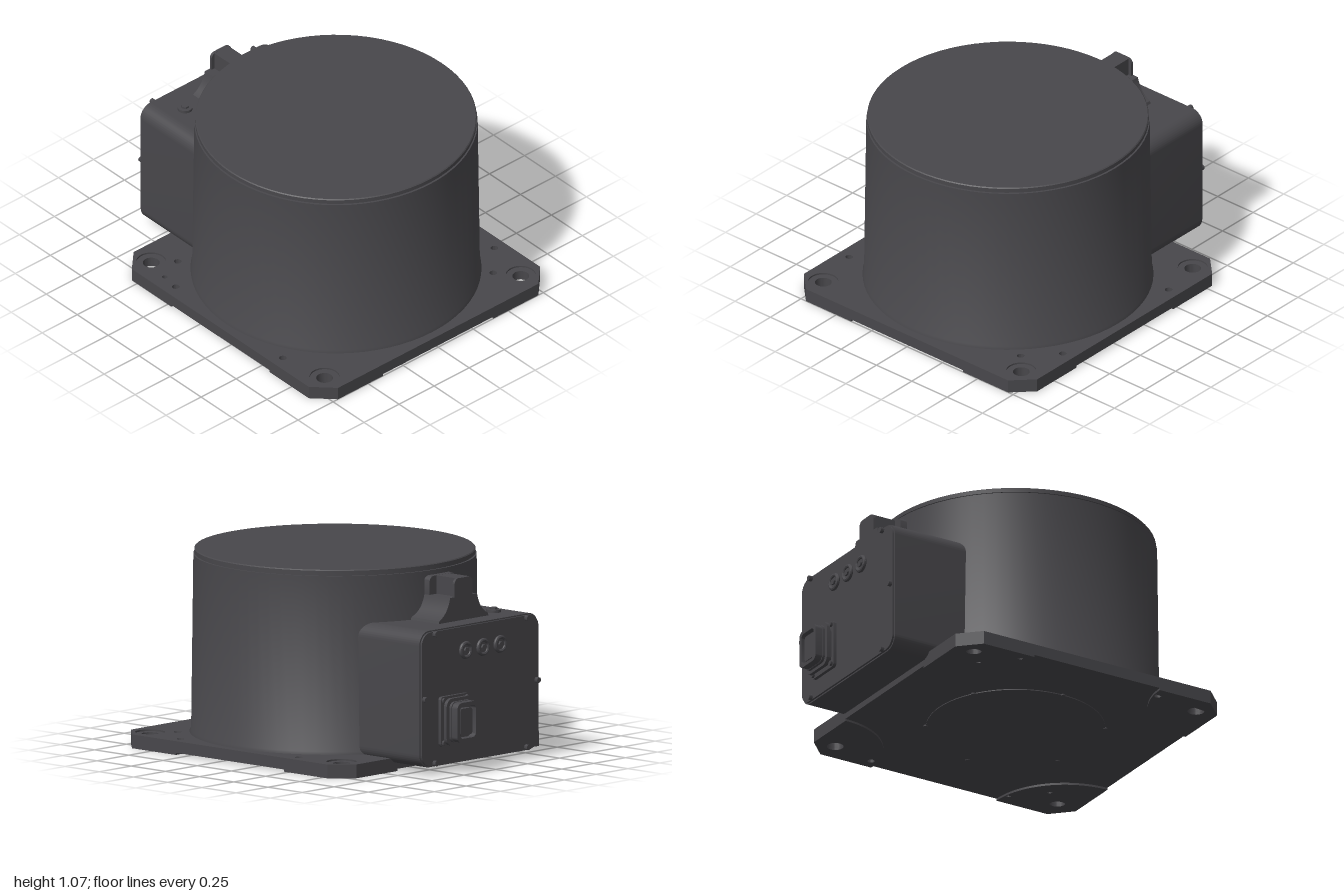
import * as THREE from 'three';
import { toCreasedNormals } from 'three/addons/utils/BufferGeometryUtils.js';

const material = new THREE.MeshStandardMaterial({ color: 0x48474b });
const CX = 0.175;                      // axis of the drum and the plate
const HALF = 0.825, CHAMFER = 0.11;

export function createModel() {
  const model = new THREE.Group();

  function add(name, geometry, x = 0, y = 0, z = 0, parent = model) {
    const mesh = new THREE.Mesh(toCreasedNormals(geometry, 0.6), material);
    mesh.name = name;
    mesh.position.set(x, y, z);
    parent.add(mesh);
    return mesh;
  }

  // Shape drawn in (x, -z), raised from y0 to y1
  const slab = (shape, y0, y1) =>
    new THREE.ExtrudeGeometry(shape, { depth: y1 - y0, bevelEnabled: false, curveSegments: 16 })
      .rotateX(-Math.PI / 2).translate(0, y0, 0);

  // Shape drawn in (-z, y), extruded from x0 to x1
  const alongX = (shape, x0, x1) =>
    new THREE.ExtrudeGeometry(shape, { depth: x1 - x0, bevelEnabled: false, curveSegments: 10 })
      .rotateY(Math.PI / 2).translate(x0, 0, 0);

  const hole = (x, z, r) => new THREE.Path().absarc(x, -z, r, 0, Math.PI * 2, true);

  function roundedRect(w, h, r) {
    const s = new THREE.Shape();
    const a = w / 2 - r, b = h / 2 - r, q = Math.PI / 2;
    s.absarc(a, b, r, 0, q);
    s.absarc(-a, b, r, q, 2 * q);
    s.absarc(-a, -b, r, 2 * q, 3 * q);
    s.absarc(a, -b, r, 3 * q, 4 * q);
    s.closePath();
    return s;
  }

  // Round part lying along x
  const rod = (r0, r1, x0, x1, n = 24) =>
    new THREE.CylinderGeometry(r0, r1, x1 - x0, n).rotateZ(Math.PI / 2).translate((x0 + x1) / 2, 0, 0);

  // Base plate: chamfered square, counterbored corner holes and small pin holes
  const corners = [[-1, -1], [1, -1], [1, 1], [-1, 1]];
  const boltHoles = corners.map(([sx, sz]) => [CX + sx * 0.7, sz * 0.7]);
  const pinHoles = [
    [-0.265, -0.755, 0.02], [0.6, -0.755, 0.02], [0.765, -0.6, 0.02], [-0.43, 0.595, 0.02],
    [-0.265, 0.755, 0.02], [0.6, 0.755, 0.02], [-0.37, 0.74, 0.014],
  ];
  function plateShape(boltRadius) {
    const c = HALF - CHAMFER;
    const s = new THREE.Shape([[c, -HALF], [HALF, -c], [HALF, c], [c, HALF], [-c, HALF], [-HALF, c], [-HALF, -c], [-c, -HALF]]
      .map(([x, y]) => new THREE.Vector2(CX + x, y)));
    boltHoles.forEach(([x, z]) => s.holes.push(hole(x, z, boltRadius)));
    pinHoles.forEach(([x, z, r]) => s.holes.push(hole(x, z, r)));
    return s;
  }
  add('basePlate', slab(plateShape(0.045), 0.012, 0.066));
  add('basePlateTop', slab(plateShape(0.08), 0.066, 0.075));

  // Raised corner pads under the plate
  corners.forEach(([sx, sz]) => {
    const R = 0.43, kx = CX + sx * HALF, kz = sz * HALF;
    const local = [[CHAMFER, 0], [0, CHAMFER]];
    for (let i = 0; i <= 24; i++) {
      const a = (i / 24) * Math.PI / 2;
      local.push([R * Math.sin(a), R * Math.cos(a)]);
    }
    const pad = new THREE.Shape(local.map(([u, v]) => new THREE.Vector2(kx - sx * u, -(kz - sz * v))));
    pad.holes.push(hole(CX + sx * 0.7, sz * 0.7, 0.045));
    pinHoles.forEach(([x, z, r]) => {
      if (Math.hypot(x - kx, z - kz) + r < R) pad.holes.push(hole(x, z, r));
    });
    add('footPad', slab(pad, 0, 0.012));
  });

  // Round access cover below, with its screws
  add('bottomCover', new THREE.CylinderGeometry(0.48, 0.48, 0.01, 64), CX, 0.012, 0);
  for (let i = 0; i < 6; i++) {
    const a = Math.PI / 6 + i * Math.PI / 3;
    add('bottomScrew', new THREE.CylinderGeometry(0.012, 0.012, 0.01, 12),
      CX + 0.48 * Math.cos(a), 0.009, 0.48 * Math.sin(a));
  }

  // Tapered drum with a slim stepped lid
  const drum = [[0, 0.07], [0.778, 0.07], [0.778, 0.078], [0.77, 0.09], [0.758, 1.04], [0.746, 1.04], [0.746, 1.047],
    [0.753, 1.047], [0.753, 1.068], [0.748, 1.073], [0, 1.073]];
  add('drum', new THREE.LatheGeometry(drum.map(p => new THREE.Vector2(...p)), 72), CX);

  // Side housing and its end cover
  add('sideHousing', alongX(roundedRect(0.93, 0.74, 0.075), -0.875, -0.38), 0, 0.415, 0);
  add('endCover', alongX(roundedRect(0.915, 0.725, 0.07), -0.886, -0.87), 0, 0.415, 0);
  for (const s of [-1, 1]) {
    for (const [z, y] of [[0.36, 0.765], [0.36, 0.065], [0.44, 0.42]]) {
      add('coverScrew', rod(0.015, 0.015, -0.907, -0.87, 12), 0, y, s * z);
    }
  }

  // Three round plugs on the end cover
  for (const z of [-0.12, 0.015, 0.15]) {
    const plug = new THREE.Group();
    plug.name = 'plug';
    plug.position.set(0, 0.65, z);
    add('plugRim', new THREE.TorusGeometry(0.038, 0.011, 8, 24).rotateY(Math.PI / 2), -0.893, 0, 0, plug);
    add('plugBody', rod(0.046, 0.046, -0.895, -0.87), 0, 0, 0, plug);
    add('plugCentre', rod(0.018, 0.018, -0.905, -0.89, 6), 0, 0, 0, plug);
    model.add(plug);
  }

  // Rectangular connector: flange, stepped collar, open shell and insert
  const connector = new THREE.Group();
  connector.name = 'connector';
  connector.position.set(0, 0.285, -0.218);
  add('connectorFlange', alongX(roundedRect(0.22, 0.27, 0.02), -0.905, -0.88), 0, 0, 0, connector);
  add('connectorNeck', alongX(roundedRect(0.175, 0.22, 0.035), -0.96, -0.9), 0, 0, 0, connector);
  add('connectorCollar', alongX(roundedRect(0.215, 0.255, 0.045), -0.945, -0.925), 0, 0, 0, connector);
  const shell = roundedRect(0.165, 0.215, 0.035);
  shell.holes.push(roundedRect(0.125, 0.175, 0.025));
  add('connectorShell', alongX(shell, -1, -0.955), 0, 0, 0, connector);
  add('connectorInsert', alongX(roundedRect(0.095, 0.145, 0.015), -0.988, -0.95), 0, 0, 0, connector);
  for (const sy of [-1, 1]) for (const sz of [-1, 1]) {
    add('flangeScrew', rod(0.014, 0.014, -0.918, -0.9, 12), 0, sy * 0.115, sz * 0.09, connector);
  }
  model.add(connector);

  // Lifting lug: flared foot, central web and rear wall against the drum
  const foot = new THREE.Shape();
  foot.moveTo(-0.2, 0.77);
  foot.lineTo(0.2, 0.77);
  foot.lineTo(0.19, 0.8);
  foot.quadraticCurveTo(0.125, 0.83, 0.105, 0.915);
  foot.lineTo(-0.105, 0.915);
  foot.quadraticCurveTo(-0.125, 0.83, -0.19, 0.8);
  foot.closePath();
  add('lugFoot', alongX(foot, -0.765, -0.5));
  add('lugWeb', new THREE.BoxGeometry(0.15, 0.115, 0.1), -0.685, 0.957, 0);
  add('lugRearWall', alongX(roundedRect(0.21, 0.16, 0.03), -0.615, -0.5), 0, 0.935, 0);
  add('lugFrontLip', alongX(roundedRect(0.14, 0.14, 0.03), -0.765, -0.75), 0, 0.945, 0);

  // Breather screw on top of the housing
  add('topScrewWasher', new THREE.CylinderGeometry(0.04, 0.04, 0.02, 24), -0.71, 0.79, 0.295);
  add('topScrew', new THREE.CylinderGeometry(0.022, 0.022, 0.03, 6), -0.71, 0.795, 0.295);

  return model;
}
